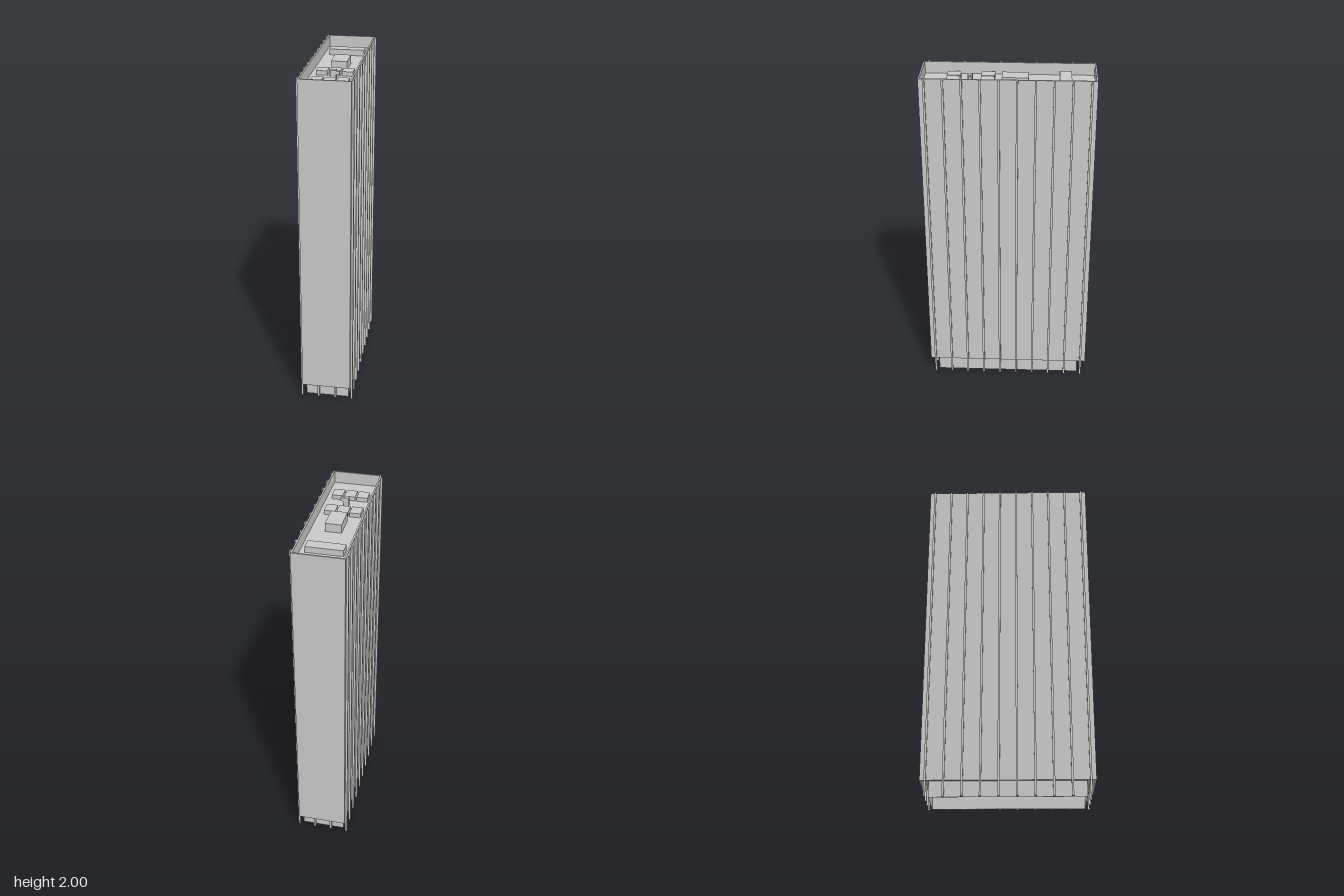
import * as THREE from 'three';

const material = new THREE.MeshStandardMaterial({ color: 0xcccccc, flatShading: true, side: THREE.DoubleSide });

// Box given by its limits on each axis
function block(name, [x0, x1], [y0, y1], [z0, z1]) {
  const mesh = new THREE.Mesh(new THREE.BoxGeometry(x1 - x0, y1 - y0, z1 - z0), material);
  mesh.position.set((x0 + x1) / 2, (y0 + y1) / 2, (z0 + z1) / 2);
  mesh.name = name;
  return mesh;
}

// Rectangle outline centred on the origin
function outline(path, hx, hz) {
  path.moveTo(-hx, -hz);
  path.lineTo(hx, -hz);
  path.lineTo(hx, hz);
  path.lineTo(-hx, hz);
  path.closePath();
  return path;
}

// Rectangular ring of walls, open at top and bottom
function ring(name, hx, hz, thickness, y0, y1) {
  const shape = outline(new THREE.Shape(), hx, hz);
  shape.holes.push(outline(new THREE.Path(), hx - thickness, hz - thickness));
  const geometry = new THREE.ExtrudeGeometry(shape, { depth: y1 - y0, bevelEnabled: false });
  geometry.rotateX(-Math.PI / 2);
  const mesh = new THREE.Mesh(geometry, material);
  mesh.position.y = y0;
  mesh.name = name;
  return mesh;
}

export function createModel() {
  const model = new THREE.Group();
  model.name = 'officeTower';
  const HX = 0.145, HZ = 0.496, BASE = 0.093, ROOF = 1.93, TOP = 2;

  // Shaft, parapet and recessed ground floor
  model.add(block('shaft', [-HX, HX], [BASE, ROOF], [-HZ, HZ]));
  model.add(ring('parapet', HX, HZ, 0.009, ROOF, TOP));
  model.add(ring('lobbyWalls', 0.129, 0.445, 0.002, 0, BASE));

  // Full-height columns along both long sides
  const columns = new THREE.Group();
  columns.name = 'columns';
  for (const side of [-1, 1]) {
    for (let i = 0; i < 10; i++) {
      const column = block('column', [-0.006, 0.006], [0, TOP], [-0.006, 0.006]);
      column.position.x = side * (HX + 0.006);
      column.position.z = -0.465 + i * 0.1033;
      columns.add(column);
    }
  }
  model.add(columns);

  // Short columns under both narrow ends
  const endColumns = new THREE.Group();
  endColumns.name = 'endColumns';
  for (const x of [-0.051, 0.051]) {
    for (const z of [-0.465, 0.465]) {
      endColumns.add(block('endColumn', [x - 0.006, x + 0.006], [0, BASE], [z - 0.006, z + 0.006]));
    }
  }
  model.add(endColumns);

  // Rooftop plant
  const plant = new THREE.Group();
  plant.name = 'rooftopPlant';
  plant.add(block('longUnit', [-0.105, 0.105], [ROOF, ROOF + 0.035], [-0.356, -0.287]));
  plant.add(block('liftHouse', [-0.04, 0.053], [ROOF, ROOF + 0.05], [-0.113, 0.037]));
  for (const z of [0.119, 0.314]) {
    for (const x of [-0.073, 0, 0.073]) {
      plant.add(block('cooler', [x - 0.032, x + 0.032], [ROOF, ROOF + 0.025], [z - 0.039, z + 0.039]));
    }
  }
  plant.add(block('mast', [-0.01, 0.02], [ROOF, ROOF + 0.05], [0.203, 0.231]));
  plant.add(block('mastArm', [0.02, 0.04], [ROOF + 0.025, ROOF + 0.045], [0.208, 0.226]));
  model.add(plant);

  return model;
}
